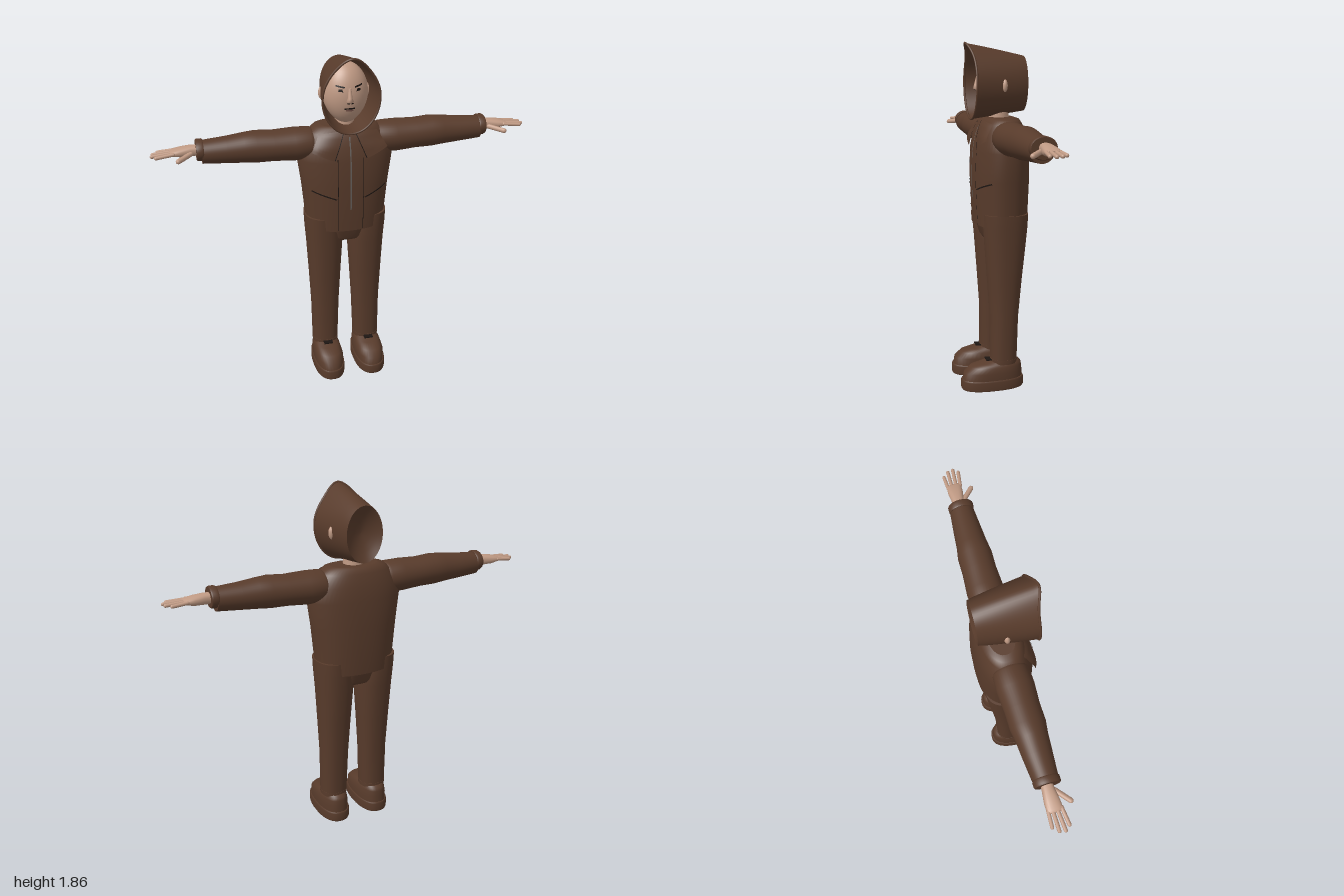
import * as THREE from 'three';

const mat = (name, color, side = THREE.FrontSide) => {
  const m = new THREE.MeshStandardMaterial({ color, side });
  m.name = name;
  return m;
};

// Turns rings of points into a smooth skin, with optional flat end caps.
function skin(rings, caps = true) {
  const n = rings[0].length, pos = [], idx = [];
  rings.forEach(r => r.forEach(p => pos.push(...p)));
  for (let i = 0; i < rings.length - 1; i++)
    for (let j = 0; j < n; j++) {
      const k = (j + 1) % n, a = i * n + j, b = i * n + k;
      idx.push(a, b, b + n, a, b + n, a + n);
    }
  if (caps) [rings[0], rings[rings.length - 1]].forEach((r, end) => {
    const s = pos.length / 3;
    r.forEach(p => pos.push(...p));
    pos.push(...[0, 1, 2].map(c => r.reduce((t, p) => t + p[c], 0) / n));
    for (let j = 0; j < n; j++) {
      const k = (j + 1) % n;
      if (end) idx.push(s + j, s + k, s + n); else idx.push(s + k, s + j, s + n);
    }
  });
  const g = new THREE.BufferGeometry();
  g.setAttribute('position', new THREE.Float32BufferAttribute(pos, 3));
  g.setIndex(idx);
  g.computeVertexNormals();
  return g;
}

// Sections are [height, radiusA, radiusB, centreA, centreB]; p squares the ovals off.
function loft(sections, { axis = 'y', p = 2, n = 40 } = {}) {
  const pw = v => Math.sign(v) * Math.abs(v) ** (2 / p);
  return skin(sections.map(([h, a, b, ca, cb]) => Array.from({ length: n }, (_, j) => {
    const t = j / n * Math.PI * 2;
    const u = ca + a * pw(Math.sin(t)), v = cb + b * pw(Math.cos(t));
    return axis === 'x' ? [h, v, u] : [u, h, v];
  })));
}

const TORSO = [
  [0.9, 0.213, 0.138, 0, -0.048], [0.97, 0.218, 0.142, 0, -0.048], [1.15, 0.235, 0.148, 0, -0.047],
  [1.3, 0.256, 0.142, 0, -0.046], [1.38, 0.238, 0.128, 0, -0.048], [1.44, 0.195, 0.107, 0, -0.05],
  [1.465, 0.165, 0.09, 0, -0.052], [1.472, 0.13, 0.07, 0, -0.052]];
const TORSO_P = 2.3;

// Front surface of the jacket at a given x and y.
function jacketZ(x, y) {
  let i = 0;
  while (i < TORSO.length - 2 && TORSO[i + 1][0] < y) i++;
  const A = TORSO[i], B = TORSO[i + 1], f = THREE.MathUtils.clamp((y - A[0]) / (B[0] - A[0]), 0, 1);
  const [, rx, rz, , cz] = A.map((v, k) => v + (B[k] - v) * f);
  return cz + rz * Math.max(0, 1 - Math.abs(x / rx) ** TORSO_P) ** (1 / TORSO_P);
}

const HEAD = { y: 1.64, rx: 0.118, ry: 0.16, rz: 0.105, z: -0.03 };
const jaw = y => 1 - 0.18 * THREE.MathUtils.clamp((HEAD.y - y) / HEAD.ry, 0, 1) ** 2;
function faceZ(x, y) {
  const u = x / (HEAD.rx * jaw(y)), v = (y - HEAD.y) / HEAD.ry;
  return HEAD.z + HEAD.rz * Math.sqrt(Math.max(0, 1 - u * u - v * v));
}

// Thin four-cornered plate (bl, br, tr, tl) laid over a surface.
function patch([bl, br, tr, tl], surf, lift, flare = 0) {
  const g = new THREE.PlaneGeometry(1, 1, 8, 8), q = g.attributes.position;
  for (let i = 0; i < q.count; i++) {
    const u = q.getX(i) + 0.5, v = q.getY(i) + 0.5;
    const at = k => (bl[k] * (1 - u) + br[k] * u) * (1 - v) + (tl[k] * (1 - u) + tr[k] * u) * v;
    q.setXYZ(i, at(0), at(1), surf(at(0), at(1)) + lift + flare * u * (1 - v));
  }
  g.computeVertexNormals();
  return g;
}
const strip = (x1, y1, x2, y2, w, surf, lift) => {
  const l = Math.hypot(x2 - x1, y2 - y1), nx = -(y2 - y1) / l * w / 2, ny = (x2 - x1) / l * w / 2;
  return patch([[x1 - nx, y1 - ny], [x2 - nx, y2 - ny], [x2 + nx, y2 + ny], [x1 + nx, y1 + ny]], surf, lift);
};

// Rounded finger between two points.
function finger(from, to, r) {
  const a = new THREE.Vector3(...from), d = new THREE.Vector3(...to).sub(a), len = d.length();
  const g = new THREE.CapsuleGeometry(r, len - 2 * r, 4, 10);
  g.applyQuaternion(new THREE.Quaternion().setFromUnitVectors(new THREE.Vector3(0, 1, 0), d.clone().normalize()));
  return g.translate(...a.addScaledVector(d, 0.5).toArray());
}

// Hood cross-section: an oval drawn up to a point at the top.
function hoodRing(f, n = 56) {
  const L = THREE.MathUtils.lerp, rx = L(0.1, 0.148, f ** 0.8), ry = L(0.145, 0.188, f);
  return Array.from({ length: n }, (_, j) => {
    const t = j / n * Math.PI * 2, c = Math.cos(t), up = Math.max(0, c);
    return [rx * Math.sin(t) * (1 - 0.22 * f * up * up), 1.646 + f * 0.004 + ry * c + 0.018 * f * up ** 6,
      L(-0.178, 0.107, f) + 0.03 * f ** 3 * up ** 6];
  }).map(([x, y, z]) => [x, y, z]).reverse();
}

export function createModel() {
  const root = new THREE.Group();
  root.name = 'hoodedFigure';
  const fabric = mat('brownFabric', 0x583b2b, THREE.DoubleSide);
  const flesh = mat('skin', 0xc09a84);
  const dark = mat('darkDetail', 0x1d1613, THREE.DoubleSide);
  const lips = mat('lips', 0x865f54, THREE.DoubleSide);
  const metal = mat('zipMetal', 0x66605c, THREE.DoubleSide);
  const add = (parent, name, geo, m) => {
    const mesh = new THREE.Mesh(geo, m);
    mesh.name = name;
    parent.add(mesh);
    return mesh;
  };

  // Jacket body, placket seams and zip
  add(root, 'jacket', loft(TORSO, { p: TORSO_P, n: 56 }), fabric);
  add(root, 'zip', strip(0, 1.03, 0, 1.43, 0.007, jacketZ, 0.004), metal);
  add(root, 'hemPanel', patch([[-0.065, 0.903], [0.065, 0.903], [0.065, 0.96], [-0.065, 0.96]], jacketZ, 0.004), fabric);
  add(root, 'crotch', loft([[0.82, 0.07, 0.085, 0, -0.045], [0.84, 0.08, 0.1, 0, -0.045],
    [0.91, 0.097, 0.12, 0, -0.045]], { p: 4 }), fabric);

  // Neck and head
  add(root, 'neck', new THREE.CylinderGeometry(0.05, 0.055, 0.12, 24).translate(0, 1.5, -0.045), flesh);
  const head = new THREE.SphereGeometry(1, 40, 28), hp = head.attributes.position;
  for (let i = 0; i < hp.count; i++) {
    const y = HEAD.y + hp.getY(i) * HEAD.ry;
    hp.setXYZ(i, hp.getX(i) * HEAD.rx * jaw(y), y, HEAD.z + hp.getZ(i) * (hp.getZ(i) > 0 ? HEAD.rz : 0.085));
  }
  head.computeVertexNormals();
  add(root, 'head', head, flesh);
  add(root, 'nose', loft([[1.612, 0.008, 0.008, 0, 0.072], [1.622, 0.019, 0.02, 0, 0.074],
    [1.64, 0.012, 0.016, 0, 0.074], [1.69, 0.008, 0.008, 0, 0.068]], { n: 16 }), flesh);
  add(root, 'upperLip', strip(-0.028, 1.583, 0.028, 1.583, 0.008, faceZ, 0.003), dark);
  add(root, 'lowerLip', strip(-0.02, 1.573, 0.02, 1.573, 0.011, faceZ, 0.003), lips);

  // Hood: flared shell, hollow back and rim
  const steps = Array.from({ length: 13 }, (_, i) => i / 12);
  add(root, 'hood', skin(steps.map(hoodF => hoodRing(hoodF)).map(r => r.slice().reverse()), false), fabric);
  const edge = hoodRing(0);
  add(root, 'hoodBack', skin([1, 0.85, 0.65, 0.4, 0.15, 0.01].map(s =>
    edge.map(([x, y]) => [x * s, 1.646 + (y - 1.646) * s, -0.178 + 0.045 * (1 - s * s)])), false), fabric);
  const rim = new THREE.CatmullRomCurve3(hoodRing(1).map(p => new THREE.Vector3(...p)), true);
  add(root, 'hoodRim', new THREE.TubeGeometry(rim, 80, 0.006, 8, true), fabric);

  // Everything that comes in left and right pairs
  for (const [side, sx] of [['left', 1], ['right', -1]]) {
    const half = new THREE.Group();
    half.name = side + 'Side';
    half.scale.x = sx;
    root.add(half);

    // Face details and ear
    add(half, 'eye', patch([[0.034, 1.672], [0.058, 1.674], [0.055, 1.686], [0.038, 1.685]], faceZ, 0.003), dark);
    add(half, 'eyebrow', strip(0.026, 1.694, 0.068, 1.702, 0.008, faceZ, 0.003), dark);
    add(half, 'nostril', strip(0.004, 1.613, 0.016, 1.616, 0.006, faceZ, 0.012), dark);
    add(half, 'ear', new THREE.SphereGeometry(1, 16, 12).scale(0.02, 0.034, 0.015).translate(0.118, 1.64, -0.045), flesh);

    // Collar flap, placket seam and slanted pocket
    add(half, 'collarFlap', patch([[0.085, 1.315], [0.2, 1.365], [0.155, 1.445], [0.03, 1.462]], jacketZ, 0.01, 0.03), fabric);
    add(half, 'collarEdge', strip(0.03, 1.455, 0.085, 1.318, 0.004, jacketZ, 0.013), dark);
    add(half, 'placketSeam', strip(0.068, 0.905, 0.068, 1.32, 0.003, jacketZ, 0.003), dark);
    add(half, 'pocket', strip(0.075, 1.095, 0.2, 1.14, 0.007, jacketZ, 0.004), dark);

    // Sleeve and cuff
    add(half, 'sleeve', loft([[0.15, 0.045, 0.045, -0.047, 1.38], [0.162, 0.075, 0.068, -0.047, 1.38],
      [0.19, 0.092, 0.083, -0.048, 1.377], [0.27, 0.095, 0.086, -0.048, 1.376], [0.38, 0.088, 0.08, -0.047, 1.378],
      [0.47, 0.089, 0.083, -0.046, 1.382], [0.53, 0.08, 0.078, -0.045, 1.382], [0.62, 0.073, 0.069, -0.044, 1.38],
      [0.745, 0.062, 0.06, -0.042, 1.38]], { axis: 'x' }), fabric);
    add(half, 'cuff', loft([[0.735, 0.062, 0.051, -0.042, 1.393], [0.742, 0.066, 0.055, -0.042, 1.393],
      [0.765, 0.066, 0.055, -0.042, 1.393], [0.772, 0.062, 0.051, -0.042, 1.393]], { axis: 'x' }), fabric);

    // Hand
    add(half, 'palm', loft([[0.75, 0.028, 0.027, -0.045, 1.392], [0.8, 0.032, 0.028, -0.046, 1.392],
      [0.85, 0.039, 0.024, -0.045, 1.39], [0.89, 0.039, 0.015, -0.044, 1.39], [0.9, 0.032, 0.008, -0.044, 1.39]],
    { axis: 'x', p: 2.4, n: 24 }), flesh);
    [[-0.012, 0.002, 0.98], [-0.033, -0.023, 1], [-0.055, -0.052, 0.995], [-0.075, -0.08, 0.97]].forEach(([z0, z1, x]) =>
      add(half, 'finger', finger([0.875, 1.392, z0], [x, 1.384, z1], 0.0095), flesh));
    add(half, 'thumb', finger([0.79, 1.385, -0.025], [0.875, 1.372, 0.05], 0.013), flesh);

    // Trouser leg
    add(half, 'trouserLeg', loft([[0.14, 0.072, 0.072, 0.121, -0.04], [0.4, 0.078, 0.076, 0.118, -0.044],
      [0.6, 0.088, 0.092, 0.117, -0.046], [0.8, 0.099, 0.11, 0.116, -0.049], [0.9, 0.1, 0.118, 0.122, -0.049],
      [0.97, 0.098, 0.12, 0.127, -0.049]], { p: 2.3 }), fabric);
    add(half, 'trouserHem', loft([[0.15, 0.074, 0.074, 0.121, -0.04], [0.165, 0.074, 0.074, 0.121, -0.04]], { p: 2.3 }), fabric);

    // Shoe
    add(half, 'sole', loft([[0, 0.084, 0.17, 0.12, 0.022], [0.008, 0.087, 0.174, 0.12, 0.022],
      [0.05, 0.087, 0.174, 0.12, 0.022], [0.057, 0.083, 0.17, 0.12, 0.022]], { p: 2.4 }), fabric);
    add(half, 'shoeUpper', loft([[0.05, 0.08, 0.166, 0.12, 0.022], [0.095, 0.081, 0.161, 0.12, 0.019],
      [0.125, 0.073, 0.143, 0.12, 0.004], [0.14, 0.066, 0.11, 0.12, -0.025], [0.152, 0.055, 0.08, 0.12, -0.04]], { p: 2.4 }), fabric);
    add(half, 'lace', new THREE.BoxGeometry(0.05, 0.006, 0.03).translate(0.12, 0.158, 0.045), dark);
  }
  return root;
}
